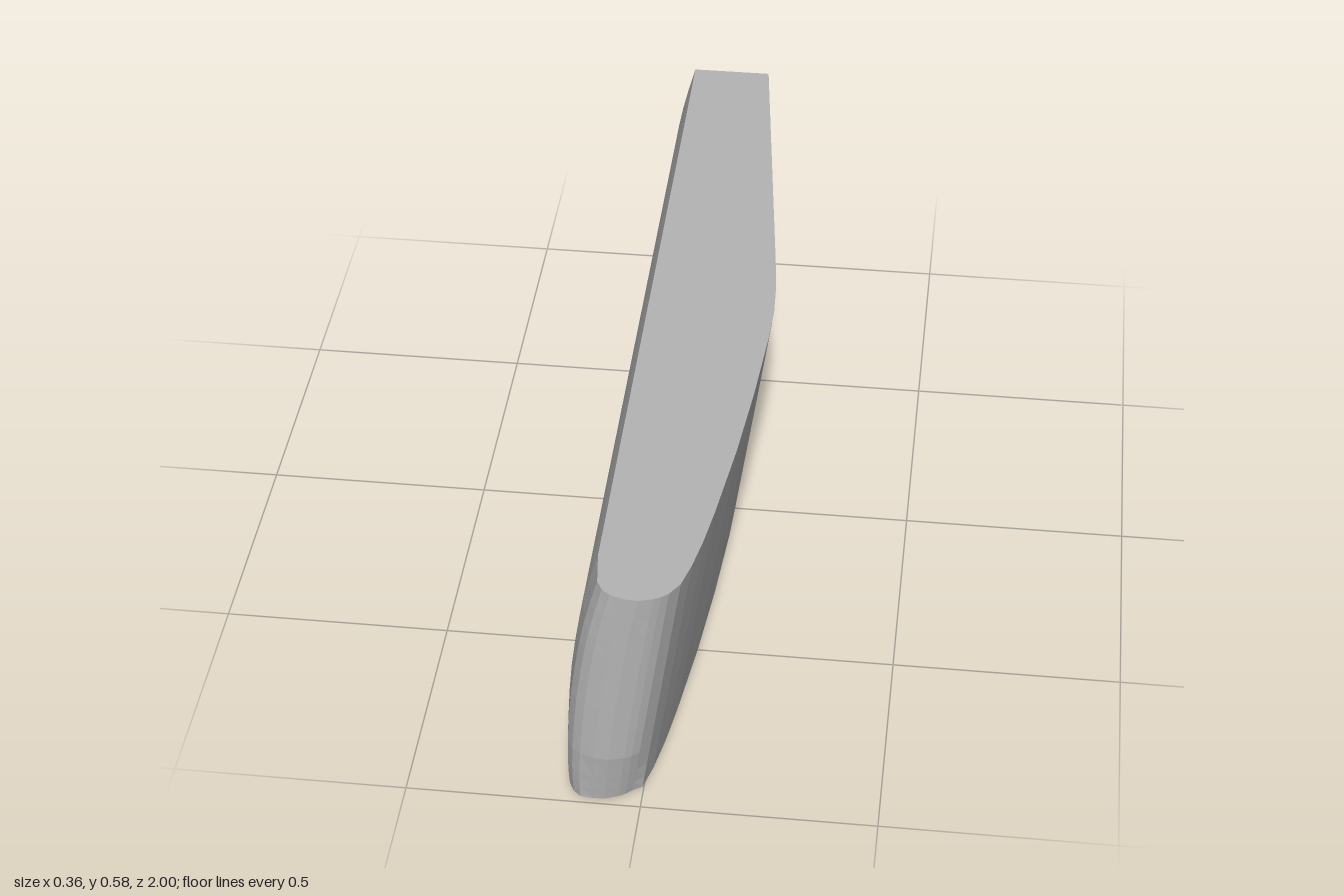
import * as THREE from 'three';

const H = 0.576;

// Height levels with the x of the bowed side at each one
const LEVELS = [
  [0, -0.179], [0.03, -0.181], [0.07, -0.182], [0.13, -0.181], [0.2, -0.177], [0.27, -0.171],
  [0.34, -0.162], [0.41, -0.151], [0.46, -0.141], [0.52, -0.126], [H, -0.11],
];

// Straight leaning side, as [x at the top, z] from back to front
const SIDE = [
  [0.073, -1], [0.165, -0.2], [0.1755, -0.1], [0.18, 0], [0.177, 0.1], [0.165, 0.3], [0.148, 0.5],
  [0.125, 0.7], [0.111, 0.8], [0.096, 0.88], [0.08, 0.94],
];

// Rounded nose, as [fraction across, z at the foot, z above it]
const NOSE = [
  [0, 0.953, 0.971], [0.09, 0.965, 0.983], [0.18, 0.973, 0.991], [0.38, 0.984, 1],
  [0.56, 0.985, 0.998], [0.75, 0.982, 0.988], [0.86, 0.968, 0.974], [0.94, 0.945, 0.95], [1, 0.87, 0.87],
];

// Closed outline of the body at one height
function outline(y, bow) {
  const lean = -0.083 * (1 - y / H);
  const rise = Math.min(1, y / 0.13);
  const points = SIDE.map(([x, z]) => [x + lean, y, z]);
  for (const [w, foot, upper] of NOSE) {
    points.push([
      THREE.MathUtils.lerp(0.06 + lean, bow + 0.013, w), y,
      THREE.MathUtils.lerp(foot, upper, rise),
    ]);
  }
  points.push([bow, y, -1]);
  return points;
}

function bodyGeometry() {
  const loops = LEVELS.map(([y, bow]) => outline(y, bow));
  const n = loops[0].length;
  const index = [];
  // Walls between neighbouring outlines
  for (let k = 0; k < loops.length - 1; k++) {
    for (let i = 0; i < n; i++) {
      const j = (i + 1) % n;
      const a = k * n + i, b = k * n + j;
      index.push(a, a + n, b + n, a, b + n, b);
    }
  }
  // Flat top and underside, fanned from the back corner
  const top = (loops.length - 1) * n;
  for (let i = 0; i < n - 2; i++) {
    index.push(top + n - 1, top + i + 1, top + i);
    index.push(n - 1, i, i + 1);
  }
  const geometry = new THREE.BufferGeometry();
  geometry.setAttribute('position', new THREE.Float32BufferAttribute(loops.flat(2), 3));
  geometry.setIndex(index);
  const flat = geometry.toNonIndexed();
  flat.computeVertexNormals();
  return flat;
}

export function createModel() {
  const group = new THREE.Group();
  group.name = 'curvedBlock';
  const grey = new THREE.MeshStandardMaterial({ color: 0xb4b4b4, flatShading: true });
  grey.name = 'lightGrey';
  const body = new THREE.Mesh(bodyGeometry(), grey);
  body.name = 'body';
  group.add(body);
  return group;
}
